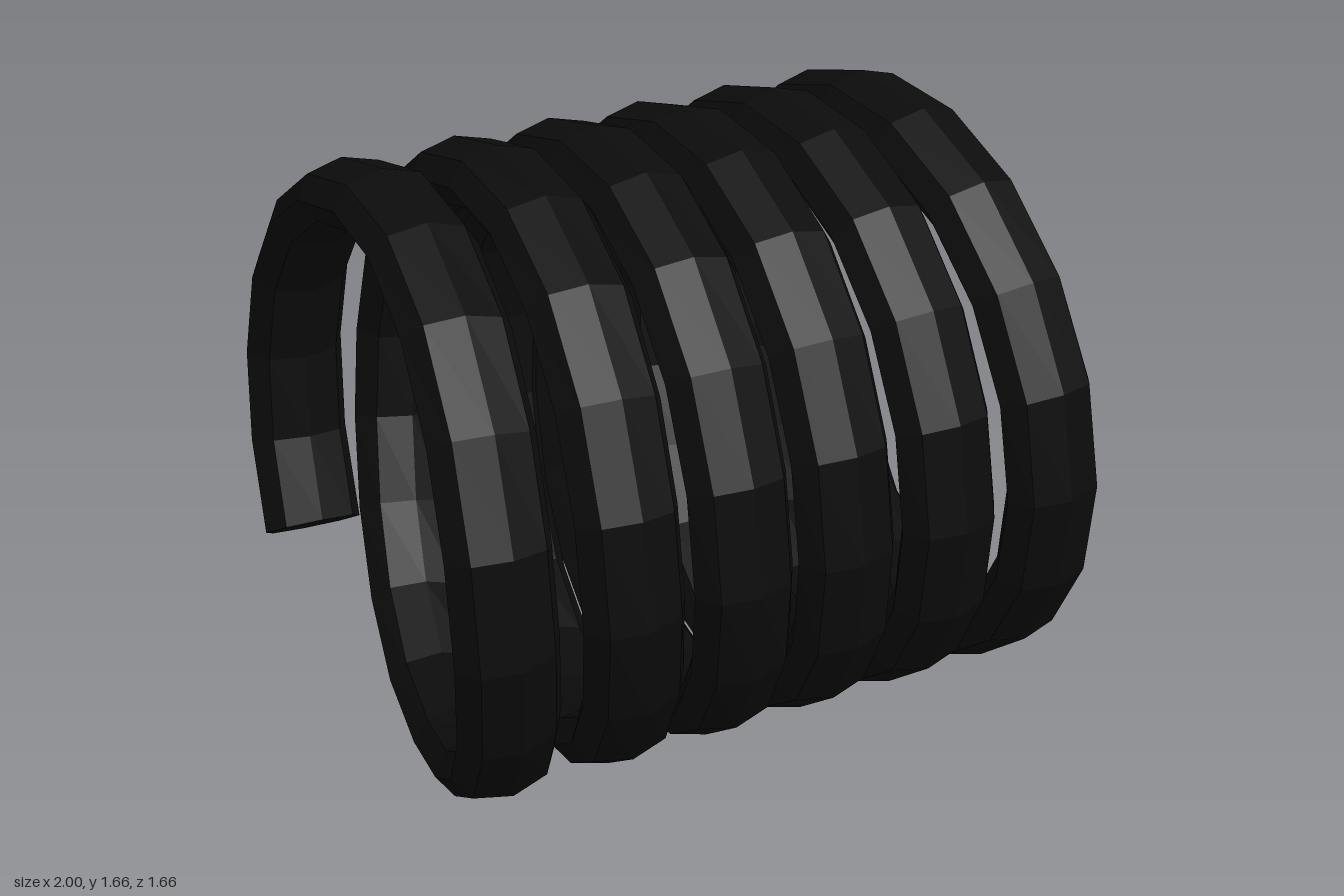
import * as THREE from 'three';

const SEGMENTS = 108, SIDES = 8;
const RADIUS = 0.748, CENTER_Y = 0.83;
const HALF_DEPTH = 0.085, HALF_WIDTH = 0.136;
const START = -33, END = 5 * 360 + 322.5; // degrees, 0 = back, 90 = top

// sideways position of the coil at the back, top, front and bottom of each turn
const TURNS = [
  [-0.77, -0.78, -0.865, -0.655],
  [-0.455, -0.47, -0.53, -0.335],
  [-0.175, -0.195, -0.23, -0.05],
  [0.09, 0.075, 0.06, 0.23],
  [0.36, 0.345, 0.36, 0.50],
  [0.63, 0.615, 0.675, 0.785],
];

function createPath() {
  const stations = TURNS.flat();
  const angles = [START, ...stations.map((_, i) => i * 90), END];
  const drift = new THREE.CubicInterpolant(angles, [-0.79, ...stations, 0.865], 1, [0]);
  return (deg) => {
    const a = THREE.MathUtils.degToRad(deg);
    const x = drift.evaluate(THREE.MathUtils.clamp(deg, START, END))[0];
    return new THREE.Vector3(x, CENTER_Y + RADIUS * Math.sin(a), -RADIUS * Math.cos(a));
  };
}

// sweep a flattened octagon along the coil path, with closed ends
function createCoilGeometry() {
  const path = createPath();
  const positions = [], indices = [];
  for (let i = 0; i <= SEGMENTS; i++) {
    const deg = START + (END - START) * i / SEGMENTS;
    const a = THREE.MathUtils.degToRad(deg);
    const center = path(deg);
    const tangent = path(Math.min(deg + 5, END)).sub(path(Math.max(deg - 5, START))).normalize();
    const radial = new THREE.Vector3(0, Math.sin(a), -Math.cos(a));
    const across = radial.clone().cross(tangent).normalize();
    for (let j = 0; j < SIDES; j++) {
      const b = j / SIDES * Math.PI * 2;
      const p = center.clone()
        .addScaledVector(radial, HALF_DEPTH * Math.cos(b))
        .addScaledVector(across, HALF_WIDTH * Math.sin(b));
      positions.push(p.x, p.y, p.z);
    }
  }
  for (let i = 0; i < SEGMENTS; i++) {
    for (let j = 0; j < SIDES; j++) {
      const k = (j + 1) % SIDES;
      const a = i * SIDES + j, b = a + SIDES;
      const c = i * SIDES + k, d = c + SIDES;
      indices.push(a, b, d, a, d, c);
    }
  }
  const last = SEGMENTS * SIDES;
  for (let j = 1; j < SIDES - 1; j++) {
    indices.push(0, j, j + 1);
    indices.push(last, last + j + 1, last + j);
  }
  const geometry = new THREE.BufferGeometry();
  geometry.setAttribute('position', new THREE.Float32BufferAttribute(positions, 3));
  geometry.setIndex(indices);
  geometry.computeVertexNormals();
  return geometry;
}

export function createModel() {
  const group = new THREE.Group();
  group.name = 'coilSpring';
  const material = new THREE.MeshStandardMaterial({ color: 0x0d0c0c, flatShading: true });
  const coil = new THREE.Mesh(createCoilGeometry(), material);
  coil.name = 'coil';
  group.add(coil);
  return group;
}
